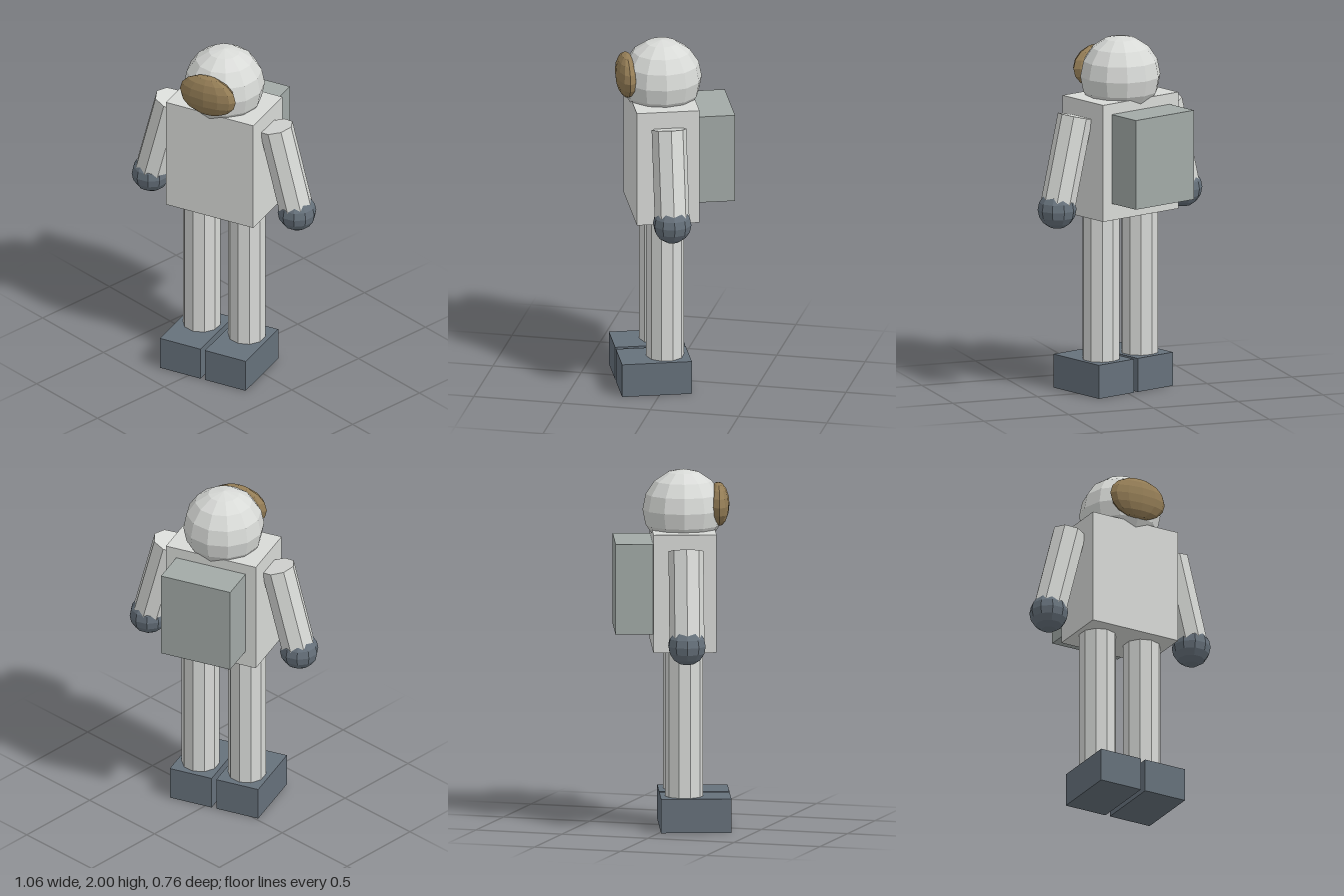
import * as THREE from 'three';

function material(name, color) {
  const m = new THREE.MeshStandardMaterial({ color, flatShading: true });
  m.name = name;
  return m;
}

export function createModel() {
  const suit = material('suit white', 0xd8dad7);
  const packGrey = material('pack grey', 0xa2aaa7);
  const dark = material('glove and boot slate', 0x66717b);
  const gold = material('visor gold', 0x947d56);

  const model = new THREE.Group();
  model.name = 'astronaut';
  const body = new THREE.Group();
  body.name = 'body';
  // the figure stands turned a little towards its left
  body.position.set(-0.005, 0, 0.046);
  body.rotation.y = 0.35;
  model.add(body);

  const add = (name, geometry, mat, x, y, z) => {
    const mesh = new THREE.Mesh(geometry, mat);
    mesh.name = name;
    mesh.position.set(x, y, z);
    body.add(mesh);
    return mesh;
  };

  // torso and life-support pack
  add('torso', new THREE.BoxGeometry(0.545, 0.66, 0.35), suit, 0, 1.34, 0);
  add('backpack', new THREE.BoxGeometry(0.42, 0.505, 0.215), packGrey, 0, 1.357, -0.275);

  // helmet and visor
  add('helmet', new THREE.SphereGeometry(0.225, 12, 8), suit, 0, 1.775, 0);
  const visor = add('visor', new THREE.SphereGeometry(0.174, 12, 8), gold, 0, 1.802, 0.196);
  visor.scale.set(1, 0.7, 0.35);

  // limbs, mirrored left and right
  for (const [side, s] of [['left', 1], ['right', -1]]) {
    const shoulder = new THREE.Vector3(s * 0.326, 1.588, 0.003);
    const hand = new THREE.Vector3(s * 0.456, 1.077, 0.003);
    const mid = shoulder.clone().add(hand).multiplyScalar(0.5);
    const arm = add(side + 'Arm',
      new THREE.CylinderGeometry(0.097, 0.097, shoulder.distanceTo(hand), 8), suit, mid.x, mid.y, mid.z);
    arm.rotation.z = s * 0.25;
    add(side + 'Glove', new THREE.SphereGeometry(0.108, 10, 8), dark, hand.x, hand.y, hand.z);

    add(side + 'Leg', new THREE.CylinderGeometry(0.105, 0.105, 0.84, 10), suit, s * 0.141, 0.6, 0);
    add(side + 'Boot', new THREE.BoxGeometry(0.254, 0.19, 0.39), dark, s * 0.141, 0.095, 0.062);
  }
  return model;
}
